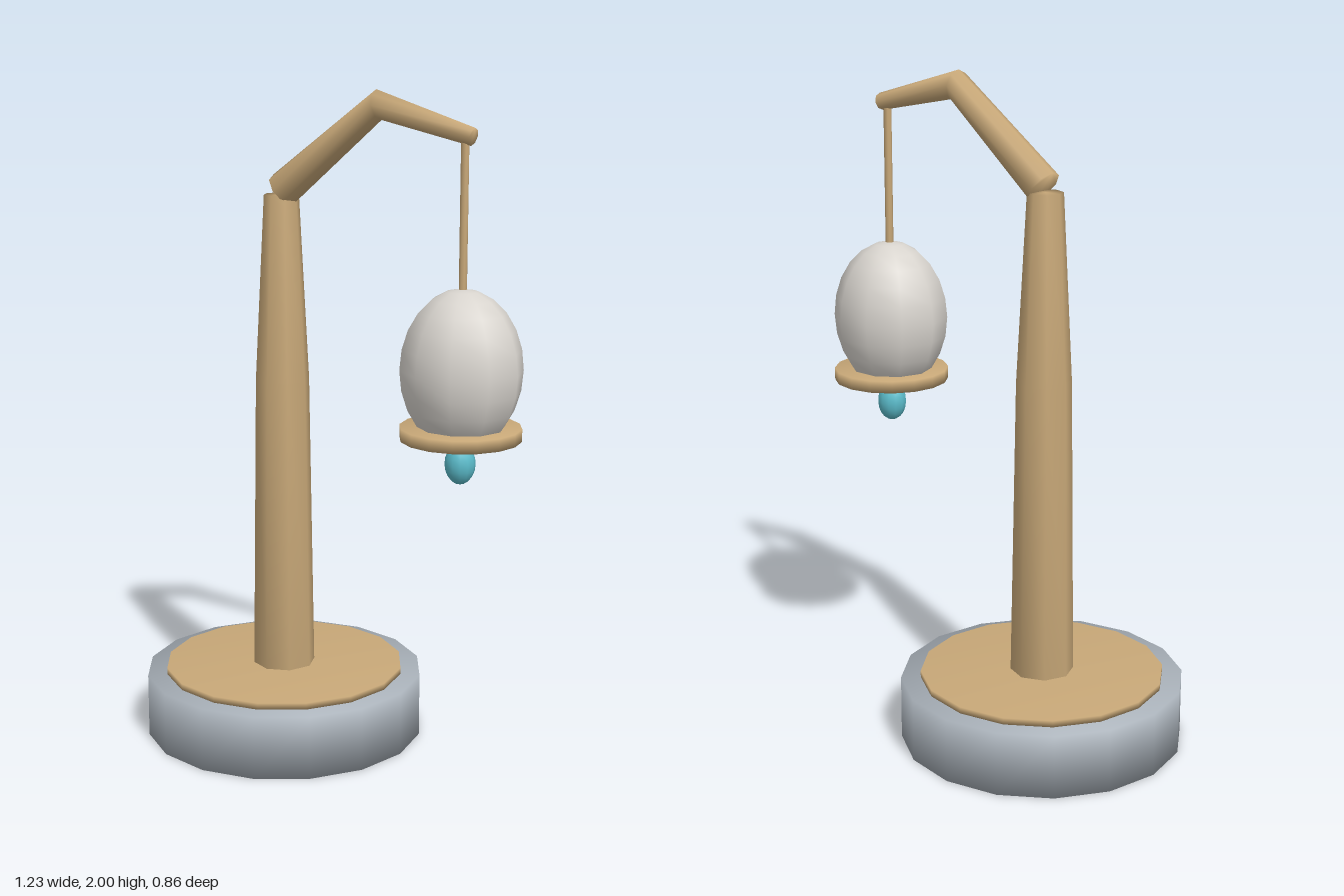
import * as THREE from 'three';
import { mergeVertices } from 'three/addons/utils/BufferGeometryUtils.js';

const wood = new THREE.MeshStandardMaterial({ color: 0xc8a878 });
const stone = new THREE.MeshStandardMaterial({ color: 0xa8b0b8 });
const shell = new THREE.MeshStandardMaterial({ color: 0xd8d4ce });
const blue = new THREE.MeshStandardMaterial({ color: 0x5bbccb });

const POST_X = -0.19;
const LAMP_X = 0.433;

// Shares vertices across edges so the shading runs smoothly over the rims
function weld(geometry) {
  geometry.deleteAttribute('normal');
  geometry.deleteAttribute('uv');
  const welded = mergeVertices(geometry, 1e-4);
  welded.computeVertexNormals();
  return welded;
}

// Closed tube through rings { x, y, r }, bent in the xy plane with mitred joints
function limb(rings, sides) {
  const points = rings.map((p) => new THREE.Vector2(p.x, p.y));
  const positions = [];
  const index = [];
  rings.forEach((ring, i) => {
    const dir = new THREE.Vector2();
    if (i > 0) dir.add(points[i].clone().sub(points[i - 1]).normalize());
    if (i < rings.length - 1) dir.add(points[i + 1].clone().sub(points[i]).normalize());
    dir.normalize();
    for (let s = 0; s < sides; s++) {
      const a = (s / sides) * Math.PI * 2;
      const up = Math.cos(a) * ring.r;
      positions.push(ring.x - dir.y * up, ring.y + dir.x * up, Math.sin(a) * ring.r);
      if (i < rings.length - 1) {
        const b = i * sides + s;
        const c = i * sides + ((s + 1) % sides);
        index.push(b, c, b + sides, c, c + sides, b + sides);
      }
    }
  });
  // End caps
  const last = (rings.length - 1) * sides;
  for (let s = 1; s < sides - 1; s++) {
    index.push(0, s + 1, s, last, last + s, last + s + 1);
  }
  const geometry = new THREE.BufferGeometry();
  geometry.setAttribute('position', new THREE.Float32BufferAttribute(positions, 3));
  geometry.setIndex(index);
  geometry.computeVertexNormals();
  return geometry;
}

export function createModel() {
  const model = new THREE.Group();
  model.name = 'hangingLantern';

  function add(name, geometry, material, x = 0, y = 0) {
    const mesh = new THREE.Mesh(geometry, material);
    mesh.name = name;
    mesh.position.set(x, y, 0);
    model.add(mesh);
    return mesh;
  }

  // Upright cylinder between two heights
  function disc(name, radius, bottom, top, sides, material, x) {
    const geometry = weld(new THREE.CylinderGeometry(radius, radius, top - bottom, sides));
    return add(name, geometry, material, x, (bottom + top) / 2);
  }

  // Stone foot with a thin wooden plate
  disc('stoneBase', 0.43, 0, 0.195, 16, stone, POST_X);
  disc('basePlate', 0.37, 0.195, 0.215, 16, wood, POST_X);

  // Tapering post
  const post = [[0, 0.2], [0.096, 0.2], [0.082, 1.12], [0.053, 1.68], [0, 1.68]];
  const profile = post.map(([r, y]) => new THREE.Vector2(r, y));
  add('post', weld(new THREE.LatheGeometry(profile, 8)), wood, POST_X);

  // Bent arm, thinning towards its tip
  add('arm', limb([
    { x: -0.183, y: 1.695, r: 0.055 },
    { x: 0.15, y: 1.957, r: 0.044 },
    { x: 0.458, y: 1.881, r: 0.026 },
  ], 8), wood);

  // Hanging rod and egg-shaped lantern
  disc('hangingRod', 0.012, 1.44, 1.88, 8, wood, LAMP_X);
  const lantern = add('lanternShell', new THREE.SphereGeometry(1, 10, 12), shell, LAMP_X, 1.22);
  lantern.scale.set(0.181, 0.235, 0.171);

  // Wooden rim and glass drop below
  disc('lanternRim', 0.177, 1.018, 1.055, 16, wood, LAMP_X);
  const drop = add('glassDrop', new THREE.SphereGeometry(1, 12, 10), blue, LAMP_X, 0.945);
  drop.scale.set(0.045, 0.061, 0.045);

  return model;
}
